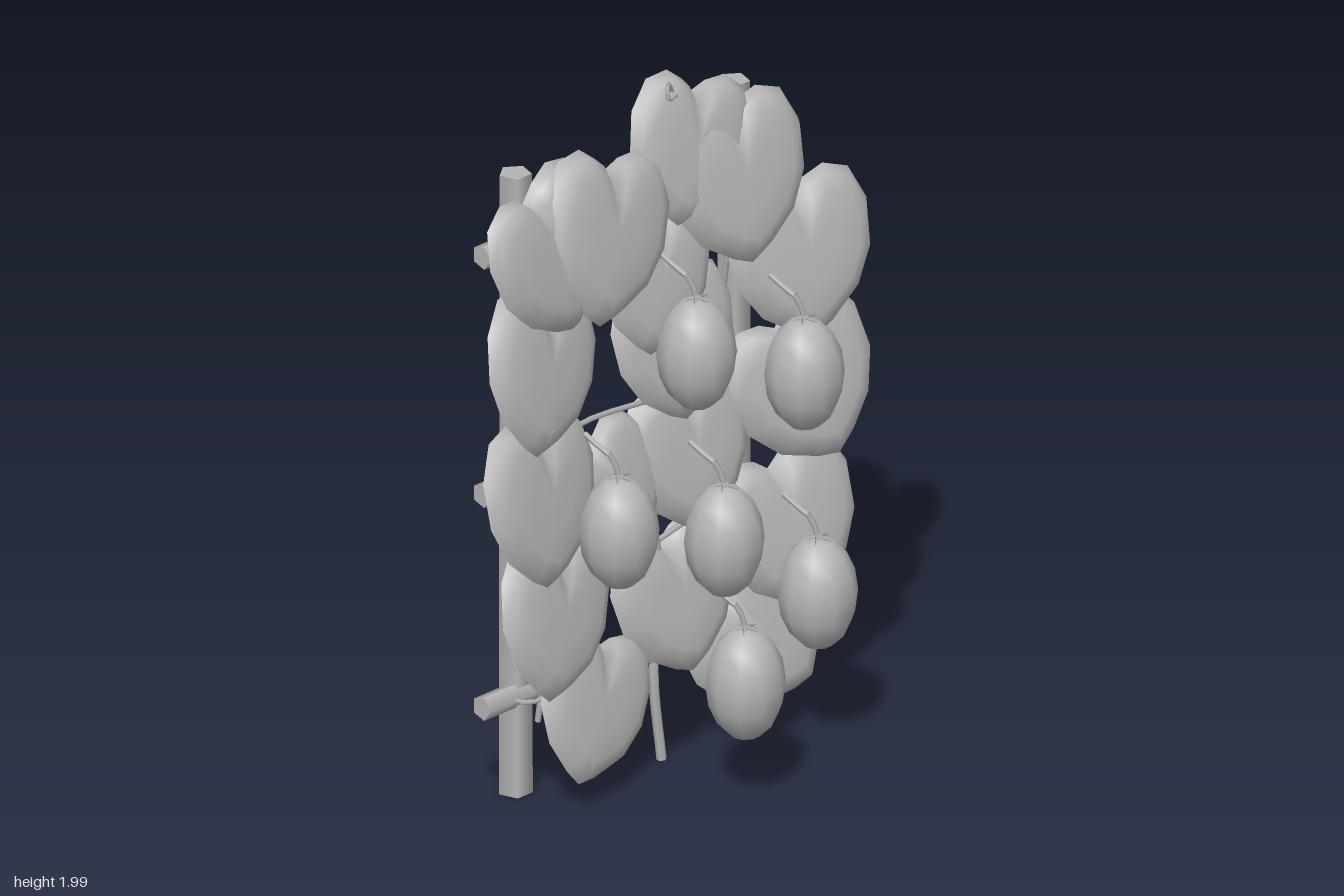
import * as THREE from 'three';

const V = (x, y, z) => new THREE.Vector3(x, y, z);

export function createModel() {
  const model = new THREE.Group();
  const grey = new THREE.MeshStandardMaterial({ color: 0xb4b4b4, side: THREE.DoubleSide });
  grey.name = 'plain grey';

  const add = (geometry, name, parent = model) => {
    const mesh = new THREE.Mesh(geometry, grey);
    mesh.name = name;
    parent.add(mesh);
    return mesh;
  };
  const tube = (points, radius, name, segments = 10, sides = 5, parent = model) =>
    add(new THREE.TubeGeometry(new THREE.CatmullRomCurve3(points), segments, radius, sides), name, parent);

  // Trellis: two posts, three rails, and a tie at each crossing
  for (const x of [-0.403, 0.415]) {
    const post = add(new THREE.CylinderGeometry(0.046, 0.048, 1.83, 5), 'post');
    post.position.set(x, 0.915, -0.283);
    post.rotation.y = Math.PI;
    for (const y of [0.3, 0.93, 1.635]) {
      const tie = add(new THREE.TorusGeometry(0.05, 0.007, 4, 10), 'tie');
      tie.rotation.x = Math.PI / 2;
      tie.position.set(x, y, -0.24);
    }
  }
  for (const y of [0.3, 0.93, 1.635]) {
    const rail = add(new THREE.CylinderGeometry(0.035, 0.035, 1.12, 5), 'rail');
    rail.rotation.z = Math.PI / 2;
    rail.position.set(0.01, y, -0.262);
  }

  // Main stem
  const stem = new THREE.CatmullRomCurve3([
    V(0.015, 0, -0.15), V(-0.01, 0.25, -0.155), V(0.02, 0.55, -0.17), V(-0.02, 0.85, -0.17),
    V(0.02, 1.15, -0.18), V(-0.01, 1.45, -0.175), V(0.04, 1.7, -0.18), V(0.09, 1.93, -0.18),
  ]);
  add(new THREE.TubeGeometry(stem, 36, 0.014, 6), 'mainStem');
  const stemAt = (y) => stem.getPoint(THREE.MathUtils.clamp(y / 1.93, 0, 1));

  // Side shoots climbing beside the posts
  for (const s of [-1, 1]) {
    tube([V(s * 0.35, 0.2, -0.25), V(s * 0.34, 0.45, -0.22), V(s * 0.36, 0.75, -0.16)], 0.009, 'sideShoot', 12);
    tube([V(s * 0.35, 1.2, -0.26), V(s * 0.34, 1.4, -0.22), V(s * 0.36, 1.65, -0.16)], 0.009, 'sideShoot', 12);
  }

  // Curling tendrils
  tube([V(0.09, 1.93, -0.18), V(0.05, 1.98, -0.16), V(0.04, 1.94, -0.15), V(0.08, 1.94, -0.16)], 0.006, 'tendril');
  tube([V(0.42, 1.68, -0.16), V(0.49, 1.77, -0.19), V(0.5, 1.7, -0.2), V(0.52, 1.69, -0.18)], 0.006, 'tendril');

  // Heart-shaped leaf blade: domed rings with a rolled-back rim
  const half = [[0.1, 0.42], [0.25, 0.47], [0.42, 0.4], [0.51, 0.18], [0.48, -0.1], [0.34, -0.33], [0.13, -0.48]];
  const outline = [[0, 0.33], ...half, [0, -0.54], ...half.slice().reverse().map(([x, y]) => [-x, y])];
  const rings = [[0.4, 0.07], [0.72, 0.06], [0.9, 0.025], [1, -0.05]];
  const n = outline.length;
  const verts = [0, 0, 0.07];
  const index = [];
  rings.forEach(([r, z], k) => outline.forEach(([x, y], i) => {
    const fold = y > 0 ? 0.05 * Math.max(0, 1 - Math.abs(x) / 0.15) * r : 0;
    verts.push(x * r, y * r, z - fold);
    const a = 1 + k * n + i, b = 1 + k * n + (i + 1) % n;
    if (k === 0) index.push(0, b, a);
    else index.push(a - n, b - n, a, b - n, b, a);
  }));
  const blade = new THREE.BufferGeometry();
  blade.setAttribute('position', new THREE.Float32BufferAttribute(verts, 3));
  blade.setIndex(index);
  blade.computeVertexNormals();

  // Leaves: x, y, z, turn, size
  const leaves = [
    [-0.43, 1.66, -0.115, 0.2, 0.45], [-0.225, 1.655, -0.1, -0.33, 0.47],
    [0.13, 1.78, -0.15, -0.35, 0.41], [0.27, 1.655, -0.105, 0.05, 0.46],
    [-0.485, 1.35, -0.085, -0.35, 0.45], [0, 1.43, -0.15, -0.25, 0.39],
    [0.49, 1.365, -0.085, 0.05, 0.45], [0.08, 1.22, -0.15, 0, 0.42],
    [-0.485, 0.965, -0.085, -0.15, 0.46], [0.495, 0.99, -0.085, 0.35, 0.46],
    [0.12, 0.885, -0.14, 0, 0.42], [-0.16, 0.87, -0.14, 0.5, 0.36],
    [-0.43, 0.6, -0.09, -0.35, 0.44], [0.44, 0.58, -0.09, 0.15, 0.45],
    [0.07, 0.475, -0.14, 0.1, 0.42], [-0.275, 0.285, -0.1, -0.5, 0.42],
    [0.33, 0.29, -0.095, 0.75, 0.43], [0.51, 0.46, -0.11, 0.5, 0.27],
  ];
  for (const [x, y, z, turn, size] of leaves) {
    const leaf = add(blade, 'leaf');
    leaf.rotation.set(-0.23, -0.38 * x, turn, 'YXZ');
    leaf.position.set(x, y, z);
    leaf.scale.setScalar(size);
    leaf.updateMatrix();
    const notch = V(0, 0.26, -0.03).applyMatrix4(leaf.matrix);
    const root = stemAt(notch.y - 0.06);
    const mid = root.clone().lerp(notch, 0.55);
    mid.z -= 0.01;
    mid.y += 0.02;
    tube([root, mid, notch], 0.008, 'leafStalk', 6);
  }

  // Hanging fruit, each with a bent stalk and a star of sepals
  const fruits = [
    [-0.13, 1.345, 0.13], [0.26, 1.16, 0.145], [-0.43, 0.92, 0.14],
    [-0.11, 0.815, 0.215], [-0.03, 0.365, 0.215], [0.31, 0.495, 0.145],
  ];
  for (const [x, y, z] of fruits) {
    const fruit = new THREE.Group();
    fruit.name = 'fruit';
    fruit.position.set(x, y, z);
    model.add(fruit);
    add(new THREE.SphereGeometry(1, 10, 8), 'fruitBody', fruit).scale.set(0.109, 0.163, 0.109);
    tube([V(0, 0.15, 0), V(-0.005, 0.19, -0.005), V(-0.02, 0.232, -0.02)], 0.008, 'fruitStalk', 5, 5, fruit);
    tube([V(-0.02, 0.23, -0.02), V(-0.03, 0.25, -0.055), V(-0.035, 0.27, -0.095)], 0.008, 'fruitStalk', 4, 5, fruit);
    for (let i = 0; i < 5; i++) {
      const a = (i / 5) * Math.PI * 2;
      const sepal = add(new THREE.ConeGeometry(0.008, 0.045, 4), 'sepal', fruit);
      sepal.position.set(Math.cos(a) * 0.022, 0.161, Math.sin(a) * 0.022);
      sepal.rotation.set(0, -a, -1.75);
    }
  }
  return model;
}
